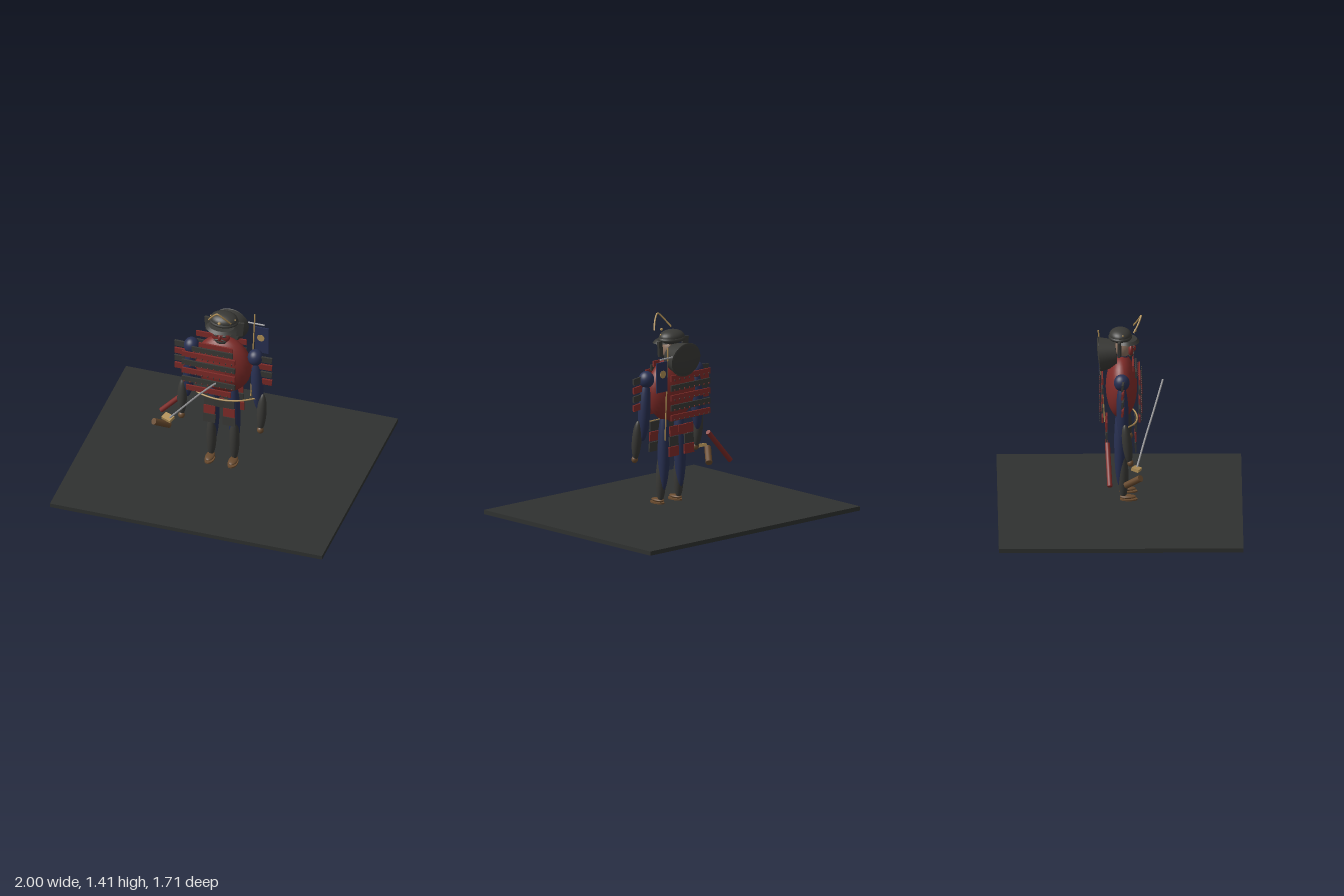
import * as THREE from 'three';

const V = (x, y, z) => new THREE.Vector3(x, y, z);
const paint = (color) => new THREE.MeshStandardMaterial({ color, side: THREE.DoubleSide });
const dark = paint(0x393936), red = paint(0x7e2b28), navy = paint(0x283052), brown = paint(0x684a2e);
const gold = paint(0xb08f56), skin = paint(0x8f7462), steel = paint(0x9a9a9c), slate = paint(0x2f3130);

export function createModel() {
  const model = new THREE.Group();
  model.name = 'armouredWarrior';

  const add = (name, geometry, material, pos = [0, 0, 0], rot = [0, 0, 0], parent = model) => {
    const mesh = new THREE.Mesh(geometry, material);
    mesh.name = name;
    mesh.position.set(...pos);
    mesh.rotation.set(...rot);
    parent.add(mesh);
    return mesh;
  };
  const box = (name, size, mat, pos, rot, parent) => add(name, new THREE.BoxGeometry(...size), mat, pos, rot, parent);
  const ball = (name, r, mat, pos, rot, parent) =>
    add(name, new THREE.SphereGeometry(1, 28, 20).scale(...r), mat, pos, rot, parent);
  // Turn a mesh built along y so that it spans from a to b
  const aim = (mesh, a, b) => {
    mesh.position.copy(a).lerp(b, 0.5);
    mesh.quaternion.setFromUnitVectors(V(0, 1, 0), b.clone().sub(a).normalize());
    return mesh;
  };
  const rod = (name, a, b, r, mat) =>
    aim(add(name, new THREE.CylinderGeometry(r, r, a.distanceTo(b), 14), mat), a, b);
  const limb = (name, a, b, r, mat) => aim(ball(name, [r, a.distanceTo(b) / 2, r], mat), a, b);
  const tube = (name, points, r, mat) =>
    add(name, new THREE.TubeGeometry(new THREE.CatmullRomCurve3(points), 32, r, 8), mat);

  // Base slab
  box('base', [2, 0.03, 1.71], slate, [0, 0.015, 0]);

  // Body
  ball('torso', [0.205, 0.23, 0.11], red, [0, 0.885, 0.01]);
  add('neck', new THREE.CylinderGeometry(0.035, 0.04, 0.09, 20), navy, [0, 1.1, 0.015]);
  ball('head', [0.06, 0.075, 0.06], skin, [0, 1.175, 0.02]);

  // Laced plate rows on chest and back
  const plateRow = (name, y, z, x, width, mat) => {
    const row = new THREE.Group();
    row.name = name;
    row.position.set(x, y, z);
    model.add(row);
    box('plate', [width, 0.042, 0.012], mat, [0, 0, 0], [0, 0, 0], row);
    const count = Math.round(width / 0.045);
    for (let i = 0; i < count; i++) {
      const px = (i + 0.5 - count / 2) * (width / count);
      ball('lacing', [0.004, 0.008, 0.004], mat === red ? dark : red, [px, -0.012, Math.sign(z) * 0.016], [0, 0, 0], row);
    }
  };
  for (let i = 0; i < 5; i++) {
    const y = 1.0 - i * 0.071, mat = i % 2 ? dark : red;
    plateRow('chestRow', y, 0.135, -0.07, i === 4 ? 0.33 : 0.39, mat);
    plateRow('backRow', y, -0.125, -0.06, 0.37, mat);
  }
  plateRow('collarRow', 1.065, 0.09, -0.03, 0.25, red);
  plateRow('collarRow', 1.035, 0.11, -0.05, 0.3, dark);

  // Belt cord
  tube('belt', [V(-0.28, 0.665, 0.03), V(-0.14, 0.653, 0.1), V(0, 0.648, 0.12), V(0.14, 0.653, 0.1), V(0.28, 0.665, 0.03)], 0.006, gold);

  for (const s of [-1, 1]) {
    // Arms
    ball('shoulder', [0.055, 0.06, 0.055], navy, [s * 0.235, 0.99, 0.01]);
    limb('upperArm', V(s * 0.238, 0.99, 0.01), V(s * 0.262, 0.55, 0.02), 0.043, navy);
    limb('forearm', V(s * 0.295, 0.7, 0.03), V(s * 0.29, 0.41, 0.065), 0.034, dark);
    ball('hand', [0.024, 0.026, 0.022], brown, [s * 0.29, 0.415, 0.07]);

    // Shoulder guard plates
    for (let i = 0; i < 4; i++)
      box('shoulderGuard', [0.145, 0.045, 0.014], i % 2 ? red : dark,
        [s * 0.285, 0.992 - i * 0.063, 0.02], [0.04, s * 0.1, -s * 0.07]);

    // Legs
    limb('thigh', V(s * 0.07, 0.76, 0.005), V(s * 0.082, 0.17, 0), 0.043, navy);
    limb('shin', V(s * 0.083, 0.44, 0.02), V(s * 0.085, 0.08, 0.025), 0.036, dark);
    ball('foot', [0.032, 0.014, 0.058], brown, [s * 0.085, 0.095, 0.055]);
    add('sandal', new THREE.CylinderGeometry(1, 1, 0.01, 24).scale(0.035, 1, 0.062), brown, [s * 0.085, 0.076, 0.06]);

    // Hanging skirt plates, front and back
    for (const z of [0.108, -0.095])
      for (let i = 0; i < 3; i++)
        box('skirtPlate', [0.076 + i * 0.007, 0.068, 0.012], (i % 2 === 0) === (z > 0) ? dark : red,
          [s * 0.072, 0.615 - i * 0.074, z], [z > 0 ? -0.06 : 0.06, 0, 0]);

    // Helmet side flaps and rivets
    box('helmetFlap', [0.045, 0.11, 0.016], dark, [s * 0.118, 1.195, -0.005], [0, s * 0.25, -s * 0.1]);
    ball('helmetRivet', [0.006, 0.006, 0.006], gold, [s * 0.09, 1.285, 0.02]);
  }
  box('centreSkirtPlate', [0.07, 0.068, 0.012], dark, [0, 0.615, 0.112]);
  box('centreSkirtPlateBack', [0.07, 0.068, 0.012], red, [0, 0.615, -0.1]);

  // Face mask
  ball('mask', [0.068, 0.052, 0.022], red, [0, 1.165, 0.075]);
  ball('maskNose', [0.012, 0.022, 0.015], red, [0, 1.165, 0.098]);
  ball('maskChin', [0.04, 0.02, 0.018], dark, [0, 1.12, 0.075]);
  for (const s of [-1, 1]) {
    ball('maskEye', [0.018, 0.007, 0.006], dark, [s * 0.03, 1.178, 0.094], [0, 0, s * 0.15]);
    ball('maskMoustache', [0.024, 0.006, 0.006], dark, [s * 0.025, 1.143, 0.095], [0, 0, -s * 0.3]);
  }

  // Helmet
  ball('helmetBowl', [0.1, 0.052, 0.078], dark, [0, 1.262, 0.002]);
  add('helmetBand', new THREE.TorusGeometry(0.092, 0.014, 10, 40).rotateX(Math.PI / 2).scale(1, 1, 0.78), dark, [0, 1.25, 0.002]);
  add('helmetBrim', new THREE.CylinderGeometry(0.8, 1, 0.02, 36).scale(0.115, 1, 0.085), dark, [0, 1.228, 0.05], [0.04, 0, 0]);
  add('neckGuard', new THREE.CylinderGeometry(0.098, 0.13, 0.12, 36).rotateX(Math.PI / 2).scale(1.04, 0.93, -1).scale(1, 1, -1)
    .rotateY(Math.PI).rotateY(Math.PI).rotateX(0), dark, [0, 1.125, -0.085], [-0.1, 0, 0]);
  ball('neckGuardBack', [0.13, 0.118, 0.014], dark, [0, 1.125, -0.143], [-0.1, 0, 0]);

  // Crest
  tube('crest', [V(-0.08, 1.305, 0.095), V(-0.055, 1.345, 0.12), V(-0.02, 1.39, 0.142), V(0, 1.405, 0.148),
    V(0.02, 1.39, 0.142), V(0.055, 1.345, 0.12), V(0.08, 1.305, 0.095)], 0.006, gold);
  ball('crestBoss', [0.011, 0.011, 0.009], gold, [0, 1.295, 0.107]);

  // Back banner
  rod('bannerPole', V(0.163, 0.56, -0.105), V(0.178, 1.235, -0.15), 0.005, gold);
  rod('bannerBar', V(0.13, 1.16, -0.147), V(0.25, 1.16, -0.147), 0.006, steel);
  box('banner', [0.1, 0.215, 0.01], navy, [0.232, 1.032, -0.143]);
  for (const z of [-0.137, -0.149])
    add('bannerDisc', new THREE.CylinderGeometry(0.027, 0.027, 0.004, 28).rotateX(Math.PI / 2), gold, [0.225, 1.052, z]);

  // Drawn sword: slightly curved blade, guard and grip
  const blade = tube('swordBlade', [V(0.035, 0.92, 0.3), V(-0.1, 0.755, 0.24), V(-0.23, 0.58, 0.175), V(-0.36, 0.405, 0.115)], 0.007, steel);
  blade.material = steel;
  box('swordGuard', [0.075, 0.022, 0.055], gold, [-0.375, 0.4, 0.112], [0.25, -0.35, 0]);
  rod('swordGrip', V(-0.47, 0.365, 0.14), V(-0.39, 0.285, 0.04), 0.024, brown);

  // Scabbard at the hip
  rod('scabbard', V(-0.485, 0.31, -0.075), V(-0.26, 0.55, -0.09), 0.018, red);

  return model;
}
